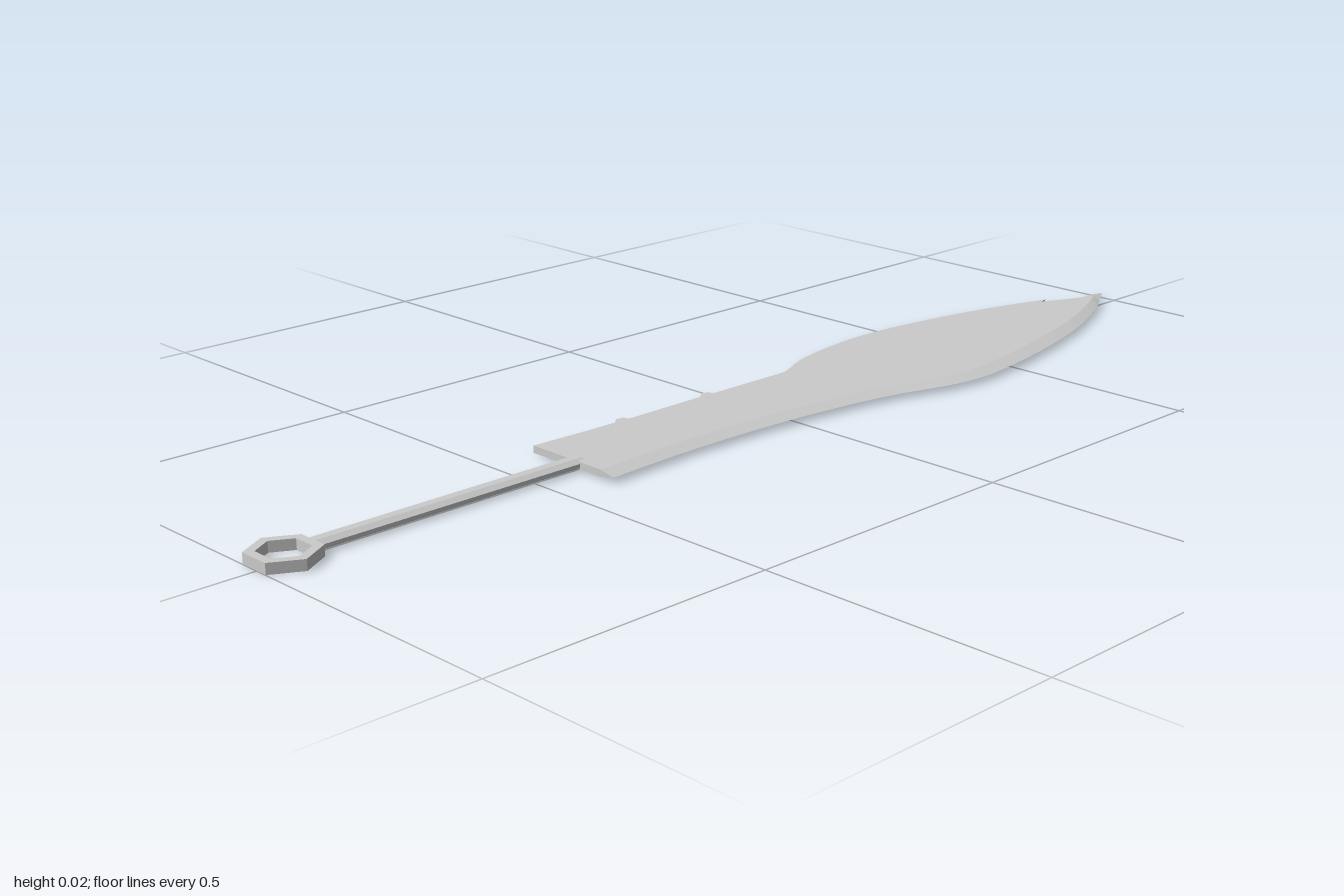
import * as THREE from 'three';

const material = new THREE.MeshStandardMaterial({ color: 0xcccccc, flatShading: true });
const TOP = 0.016, MID = 0.0098, BOTTOM = 0.0035;

// Smooth run of rim points: x, z and bevel inset (towards the blade's middle)
function rimCurve(points, count) {
  const curve = new THREE.CatmullRomCurve3(points.map(p => new THREE.Vector3(...p)));
  return curve.getPoints(count).map(p => [p.x, p.y, p.z]);
}

// Flat blade: two caps joined to a sharp mid-height rim by bevel strips
function bladeGeometry(rim) {
  const mid = rim.map(([x, z]) => [x, MID, z]);
  const inner = rim.map(([x, z, inset]) => [x + inset, Math.max(z, -0.95)]);
  const top = inner.map(([x, z]) => [x, TOP, z]);
  const bottom = inner.map(([x, z]) => [x, BOTTOM, z]);
  const pos = [];
  const tri = (a, b, c) => pos.push(...a, ...b, ...c);
  const quad = (a, b, c, d) => { tri(a, b, c); tri(a, c, d); };

  const contour = inner.map(([x, z]) => new THREE.Vector2(x, -z));
  for (const [a, b, c] of THREE.ShapeUtils.triangulateShape(contour, [])) {
    const up = THREE.ShapeUtils.area([contour[a], contour[b], contour[c]]) > 0;
    const [p, q] = up ? [b, c] : [c, b];
    tri(top[a], top[p], top[q]);
    tri(bottom[a], bottom[q], bottom[p]);
  }
  for (let i = 0; i < rim.length; i++) {
    const j = (i + 1) % rim.length;
    quad(top[i], top[j], mid[j], mid[i]);
    quad(mid[i], mid[j], bottom[j], bottom[i]);
  }
  const geo = new THREE.BufferGeometry();
  geo.setAttribute('position', new THREE.Float32BufferAttribute(pos, 3));
  geo.computeVertexNormals();
  return geo;
}

export function createModel() {
  const group = new THREE.Group();
  const add = (name, geo) => {
    const mesh = new THREE.Mesh(geo, material);
    mesh.name = name;
    group.add(mesh);
    return mesh;
  };

  // Cutting edge, from near the tip down to the base
  const edge = rimCurve([
    [0.0, -0.95, -0.015], [0.03, -0.9, -0.02], [0.085, -0.77, -0.025], [0.127, -0.62, -0.03],
    [0.153, -0.48, -0.03], [0.161, -0.4, -0.03], [0.152, -0.32, -0.03], [0.117, -0.2, -0.03],
    [0.093, -0.05, -0.03], [0.082, 0.1, -0.03], [0.08, 0.25, -0.03], [0.088, 0.415, -0.03],
  ], 48);

  // Straight spine with two small thorns
  const thorn = z => [[-0.097, z + 0.022, 0], [-0.109, z + 0.008, 0], [-0.107, z - 0.006, 0], [-0.096, z - 0.008, 0]];
  const spine = [[-0.103, 0.415, 0], [-0.098, 0.3, 0], ...thorn(0.225), ...thorn(0.03), [-0.095, -0.145, 0]];

  // Belly on the back of the blade, ending in a little hook below the tip
  const belly = rimCurve([
    [-0.1, -0.155, 0.004], [-0.14, -0.24, 0.012], [-0.162, -0.36, 0.012], [-0.163, -0.46, 0.012],
    [-0.142, -0.62, 0.012], [-0.108, -0.76, 0.01], [-0.069, -0.862, 0.003],
  ], 30);
  const hook = [[-0.066, -0.845, 0.004], [-0.048, -0.882, 0.005], [-0.03, -0.925, 0.005]];
  const tip = [[-0.03, -1, 0.006]];
  add('blade', bladeGeometry([...tip, ...edge, ...spine, ...belly, ...hook]));

  // Flattened eight-sided grip
  const grip = add('grip', new THREE.CylinderGeometry(0.02, 0.02, 0.51, 8)
    .rotateY(Math.PI / 8).rotateX(Math.PI / 2).scale(1, 0.47, 1));
  grip.position.set(-0.009, 0.0092, 0.655);

  // Hexagonal ring pommel
  const hexagon = r => Array.from({ length: 6 }, (_, i) =>
    new THREE.Vector2(r * Math.cos(i * Math.PI / 3), r * Math.sin(i * Math.PI / 3)));
  const ring = new THREE.Shape(hexagon(0.057));
  ring.holes.push(new THREE.Path(hexagon(0.04).reverse()));
  const pommel = add('pommelRing', new THREE.ExtrudeGeometry(ring, { depth: 0.018, bevelEnabled: false })
    .rotateX(-Math.PI / 2));
  pommel.position.set(-0.007, 0, 0.95);

  return group;
}
